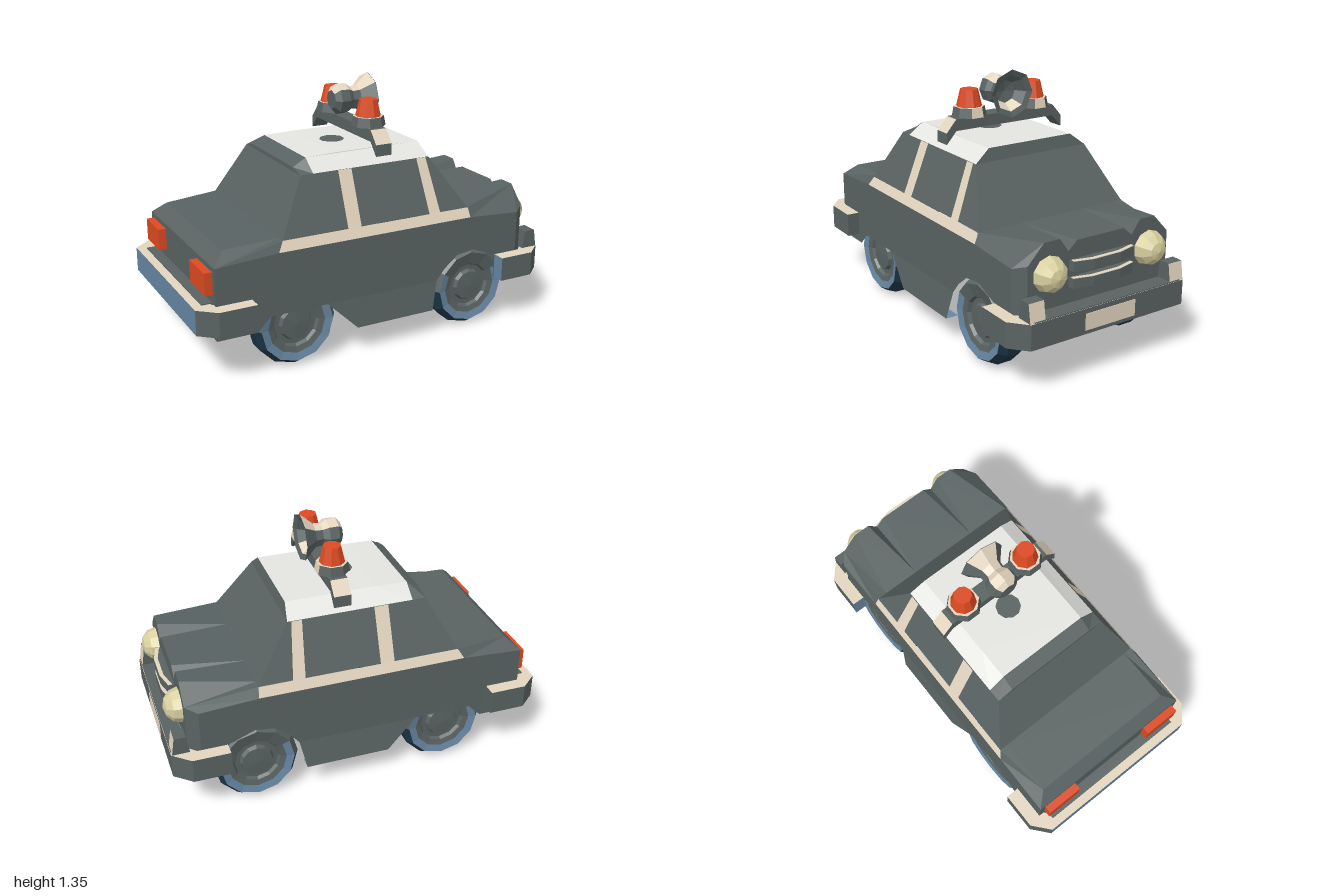
import * as THREE from 'three';

const mat = (name, color) => {
  const m = new THREE.MeshStandardMaterial({ color, side: THREE.DoubleSide });
  m.name = name;
  return m;
};

export function createModel() {
  const car = new THREE.Group();
  car.name = 'patrolCar';
  const grey = mat('bodyGrey', 0x596262);
  const beige = mat('trimBeige', 0xe3d5bf);
  const white = mat('roofWhite', 0xe4e5e0);
  const red = mat('lampRed', 0xdc4a22);
  const cream = mat('headlightCream', 0xd8cf9f);
  const blue = mat('steelBlue', 0x6686a2);
  const navy = mat('treadNavy', 0x1d3546);

  const add = (name, geo, material, parent = car) => {
    const g = geo.index ? geo.toNonIndexed() : geo;
    g.computeVertexNormals(); // flat facets
    const mesh = new THREE.Mesh(g, material);
    mesh.name = name;
    parent.add(mesh);
    return mesh;
  };

  // Gives every facet a colour chosen from its normal and height
  const addByFacing = (name, geo, mats, pick, parent = car) => {
    const g = geo.index ? geo.toNonIndexed() : geo;
    g.clearGroups();
    g.computeVertexNormals();
    const n = new THREE.Vector3();
    const p = g.attributes.position;
    for (let i = 0; i < p.count; i += 3) {
      n.fromBufferAttribute(g.attributes.normal, i);
      g.addGroup(i, 3, pick(n, (p.getY(i) + p.getY(i + 1) + p.getY(i + 2)) / 3));
    }
    return add(name, g, mats, parent);
  };
  const topsBeige = (n) => (n.y > 0.6 ? 1 : n.y < -0.6 || n.x < -0.9 ? 2 : 0);

  // Polygon drawn as a fan from its first corner
  const panel = (name, pts, material) => {
    const v = [];
    for (let i = 1; i < pts.length - 1; i++) v.push(...pts[0], ...pts[i], ...pts[i + 1]);
    const g = new THREE.BufferGeometry();
    g.setAttribute('position', new THREE.Float32BufferAttribute(v, 3));
    return add(name, g, material);
  };
  const flip = (pts) => pts.map(([x, y, z]) => [x, y, -z]).reverse();
  const pair = (name, pts, material) => {
    panel(name + 'Left', pts, material);
    panel(name + 'Right', flip(pts), material);
  };
  const across = (name, half, material, hub = []) => panel(name, [...hub, ...half, ...flip(half)], material);
  const shapeOf = (pts) => new THREE.Shape(pts.map((p) => new THREE.Vector2(...p)));
  // Plan outline (x, z) extruded down from a top height
  const slab = (pts, depth, top) =>
    new THREE.ExtrudeGeometry(shapeOf(pts), { depth, bevelEnabled: false }).rotateX(Math.PI / 2).translate(0, top, 0);

  // Lower side walls with wheel arches, flared at the sill
  const wall = shapeOf([
    [-0.9, 0.6], [-0.9, 0.23], [-0.69, 0.23], [-0.62, 0.3], [-0.31, 0.3], [-0.15, 0.145],
    [0.3, 0.145], [0.335, 0.3], [0.385, 0.36], [0.46, 0.42], [0.56, 0.435], [0.7, 0.38],
    [0.7, 0.25], [0.82, 0.25], [0.84, 0.21], [0.84, 0.6], [0.535, 0.62], [-0.57, 0.62],
  ]);
  for (const s of [1, -1]) {
    const g = new THREE.ShapeGeometry(wall);
    const p = g.attributes.position;
    for (let i = 0; i < p.count; i++) p.setZ(i, s * (p.getY(i) < 0.2 ? 0.49 : 0.467));
    if (s < 0) {
      const ix = g.index.array;
      for (let i = 0; i < ix.length; i += 3) [ix[i], ix[i + 1]] = [ix[i + 1], ix[i]];
    }
    add('sideWall', g, grey);
  }
  pair('sillLip', [[-0.15, 0.145, 0.49], [-0.15, 0.145, 0.42], [0.3, 0.145, 0.42], [0.3, 0.145, 0.49]], blue);

  // Nose and bonnet with raised wings
  pair('noseCorner', [[0.84, 0.21, 0.467], [0.9, 0.21, 0.42], [0.9, 0.62, 0.42], [0.84, 0.6, 0.467]], grey);
  across('noseFace', [[0.9, 0.21, 0.42], [0.9, 0.62, 0.42], [0.9, 0.715, 0.33], [0.9, 0.715, 0.24],
    [0.9, 0.645, 0.19], [0.9, 0.69, 0.14]], grey, [[0.9, 0.21, 0]]);
  pair('wingSide', [[0.9, 0.715, 0.33], [0.53, 0.67, 0.39], [0.53, 0.67, 0.44], [0.535, 0.62, 0.467],
    [0.84, 0.6, 0.467], [0.9, 0.62, 0.42]], grey);
  pair('wingTop', [[0.53, 0.67, 0.39], [0.9, 0.715, 0.33], [0.9, 0.715, 0.24], [0.53, 0.67, 0.19]], grey);
  pair('wingInner', [[0.53, 0.67, 0.19], [0.9, 0.715, 0.24], [0.9, 0.645, 0.19]], grey);
  pair('bonnetEdge', [[0.53, 0.67, 0.19], [0.9, 0.645, 0.19], [0.9, 0.69, 0.14]], grey);
  across('bonnet', [[0.53, 0.67, 0.19], [0.9, 0.69, 0.14]], grey);

  // Boot
  across('bootLid', [[-0.835, 0.66, 0.4], [-0.54, 0.67, 0.4]], grey);
  pair('bootSide', [[-0.9, 0.6, 0.467], [-0.57, 0.62, 0.467], [-0.54, 0.67, 0.445], [-0.54, 0.67, 0.4], [-0.835, 0.66, 0.4]], grey);
  across('bootEdge', [[-0.9, 0.6, 0.467], [-0.835, 0.66, 0.4]], grey);
  across('bootFace', [[-0.9, 0.23, 0.467], [-0.9, 0.6, 0.467]], grey);

  // Cabin
  pair('beltStrip', [[-0.57, 0.62, 0.467], [0.535, 0.62, 0.467], [0.53, 0.67, 0.445], [-0.54, 0.67, 0.445]], beige);
  pair('cabinSide', [[-0.54, 0.67, 0.445], [0.53, 0.67, 0.44], [0.345, 0.945, 0.335], [-0.39, 0.945, 0.335]], grey);
  const onSide = (x, y) => [x, y, 0.449 - (y - 0.67) * 0.4];
  pair('doorPillar', [onSide(-0.185, 0.67), onSide(-0.11, 0.67), onSide(-0.11, 0.945), onSide(-0.185, 0.945)], beige);
  pair('frontPillar', [onSide(0.29, 0.67), onSide(0.355, 0.67), onSide(0.325, 0.945), onSide(0.27, 0.945)], beige);
  across('windscreen', [[0.53, 0.67, 0.39], [0.345, 0.945, 0.335]], grey);
  across('windscreenTop', [[0.345, 0.945, 0.335], [0.33, 1.01, 0.25]], grey);
  pair('windscreenCorner', [[0.53, 0.67, 0.39], [0.53, 0.67, 0.44], [0.345, 0.945, 0.335]], grey);
  across('rearWindow', [[-0.54, 0.67, 0.4], [-0.39, 0.945, 0.335]], grey);
  across('rearWindowTop', [[-0.39, 0.945, 0.335], [-0.39, 0.965, 0.25]], grey);
  pair('rearWindowCorner', [[-0.54, 0.67, 0.445], [-0.54, 0.67, 0.4], [-0.39, 0.945, 0.335]], grey);
  across('roofRear', [[-0.39, 0.965, 0.25], [-0.32, 1.005, 0.25]], grey);
  pair('roofRearCorner', [[-0.39, 0.965, 0.25], [-0.39, 0.945, 0.335], [-0.32, 0.945, 0.335], [-0.32, 1.005, 0.25]], grey);
  across('roofBack', [[-0.32, 1.005, 0.25], [-0.15, 1.01, 0.25]], white);
  across('roof', [[-0.15, 1.01, 0.25], [0.33, 1.01, 0.25]], white);
  pair('roofSide', [[-0.32, 1.005, 0.25], [-0.32, 0.945, 0.335], [0.345, 0.945, 0.335], [0.33, 1.01, 0.25], [-0.15, 1.01, 0.25]], white);
  add('roofPatch', new THREE.CylinderGeometry(0.065, 0.065, 0.004, 10).translate(-0.045, 1.011, 0), grey);

  // Wraparound bumpers, with dark steps along their inner tops
  const bumper = (name, s, top) => {
    const half = [[0.99, 0.46], [0.9, 0.537], [0.705, 0.537], [0.705, 0.467], [0.86, 0.467], [0.9, 0.43]];
    const pts = [...half, ...half.map(([x, z]) => [x, -z]).reverse()].map(([x, z]) => [s * x, z]);
    const g = slab(pts, 0.13, top).translate(s < 0 ? -0.01 : 0, 0, 0);
    addByFacing(name, g, [grey, beige, blue], topsBeige);
  };
  bumper('frontBumper', 1, 0.38);
  bumper('rearBumper', -1, 0.41);
  add('frontBumperStep', new THREE.BoxGeometry(0.086, 0.006, 0.88).translate(0.945, 0.382, 0), grey);
  add('rearBumperStep', new THREE.BoxGeometry(0.055, 0.006, 0.84).translate(-0.927, 0.412, 0), grey);
  add('numberPlate', new THREE.BoxGeometry(0.008, 0.085, 0.3).translate(0.989, 0.312, 0), beige);

  // Curved grille bars with pale upper rims
  const arc = [[0.93, -0.18], [0.955, -0.08], [0.955, 0.08], [0.93, 0.18]];
  for (const top of [0.6, 0.515]) {
    add('grilleBar', slab([[0.9, -0.185], ...arc, [0.9, 0.185]], 0.05, top), grey);
    const inner = arc.map(([x, z]) => [x - 0.02, z]).reverse();
    add('grilleRim', slab([...arc, ...inner], 0.003, top + 0.003), beige);
  }

  // Headlights, overriders, tail lights
  for (const s of [1, -1]) {
    const lamp = new THREE.SphereGeometry(0.09, 10, 3, 0, Math.PI * 2, 0, Math.PI / 2);
    add('headlight', lamp.rotateZ(-Math.PI / 2).scale(0.95, 1, 1).translate(0.9, 0.558, s * 0.3), cream);
    const horn = shapeOf([[0.895, 0.38], [0.985, 0.38], [0.97, 0.475], [0.91, 0.475]]);
    const g = new THREE.ExtrudeGeometry(horn, { depth: 0.085, bevelEnabled: false });
    addByFacing('overrider', g.translate(0, 0, s * 0.42 - 0.0425), [grey, beige], (n) => (n.x > 0.6 ? 1 : 0));
    add('tailLight', new THREE.BoxGeometry(0.04, 0.115, 0.2).translate(-0.92, 0.517, s * 0.335), red);
  }

  // Wheels: tyre, then stepped hub
  const lathe = (pts, sides) => new THREE.LatheGeometry(pts.map((p) => new THREE.Vector2(...p)), sides);
  for (const x of [-0.475, 0.555]) {
    for (const s of [1, -1]) {
      const wheel = new THREE.Group();
      wheel.name = 'wheel';
      const tyre = lathe([[0.155, -0.07], [0.195, -0.08], [0.222, -0.04], [0.222, 0.04], [0.195, 0.08], [0.155, 0.07]], 12);
      addByFacing('tyre', tyre.rotateX(Math.PI / 2), [blue, navy, grey],
        (n, y) => (y > 0.08 ? 2 : Math.abs(n.z) > 0.85 ? 0 : n.y < -0.2 ? 1 : 2), wheel);
      add('hub', lathe([[0.155, -0.07], [0.14, 0], [0.157, 0.07], [0.125, 0.062], [0.115, 0.045],
        [0.09, 0.045], [0.08, 0.065], [0, 0.07]], 12).rotateX(Math.PI / 2), grey, wheel);
      wheel.position.set(x, 0.222, s * 0.384);
      if (s < 0) wheel.rotation.y = Math.PI;
      car.add(wheel);
    }
  }

  // Roof bar with drooping ends
  const barHalf = [[0.3, 1.115], [0.357, 1.05], [0.357, 0.99], [0.3, 1.055]];
  const barShape = shapeOf([...barHalf, ...barHalf.map(([z, y]) => [-z, y]).reverse()]);
  const bar = new THREE.ExtrudeGeometry(barShape, { depth: 0.09, bevelEnabled: false });
  bar.rotateY(Math.PI / 2).translate(0.02, 0, 0);
  addByFacing('roofBar', bar, [grey, beige], (n) => (n.y > 0.3 && n.y < 0.9 ? 1 : 0));

  // Beacons
  for (const s of [1, -1]) {
    const base = new THREE.CylinderGeometry(0.08, 0.09, 0.05, 8).rotateY(Math.PI / 8).translate(0.065, 1.14, s * 0.195);
    addByFacing('beaconBase', base, [grey, beige], (n) => (n.y > 0.8 || n.x > 0.8 ? 1 : 0));
    add('beacon', new THREE.CylinderGeometry(0.046, 0.067, 0.088, 9).translate(0.065, 1.208, s * 0.195), red);
  }

  // Loudspeaker pointing forward, with an open throat
  const speaker = lathe([[0, -0.045], [0.05, -0.045], [0.08, -0.02], [0.08, 0.03], [0.06, 0.06], [0.065, 0.1], [0.125, 0.167]], 8);
  addByFacing('loudspeaker', speaker.rotateZ(-Math.PI / 2).translate(0, 1.22, 0), [grey, beige], (n) => (n.y > 0.5 ? 1 : 0));
  const throat = lathe([[0.125, 0.167], [0.095, 0.155], [0.06, 0.1], [0, 0.085]], 8);
  addByFacing('loudspeakerThroat', throat.rotateZ(-Math.PI / 2).translate(0.002, 1.22, 0), [grey, beige],
    (n) => (n.y > 0.6 ? 1 : 0));

  return car;
}
